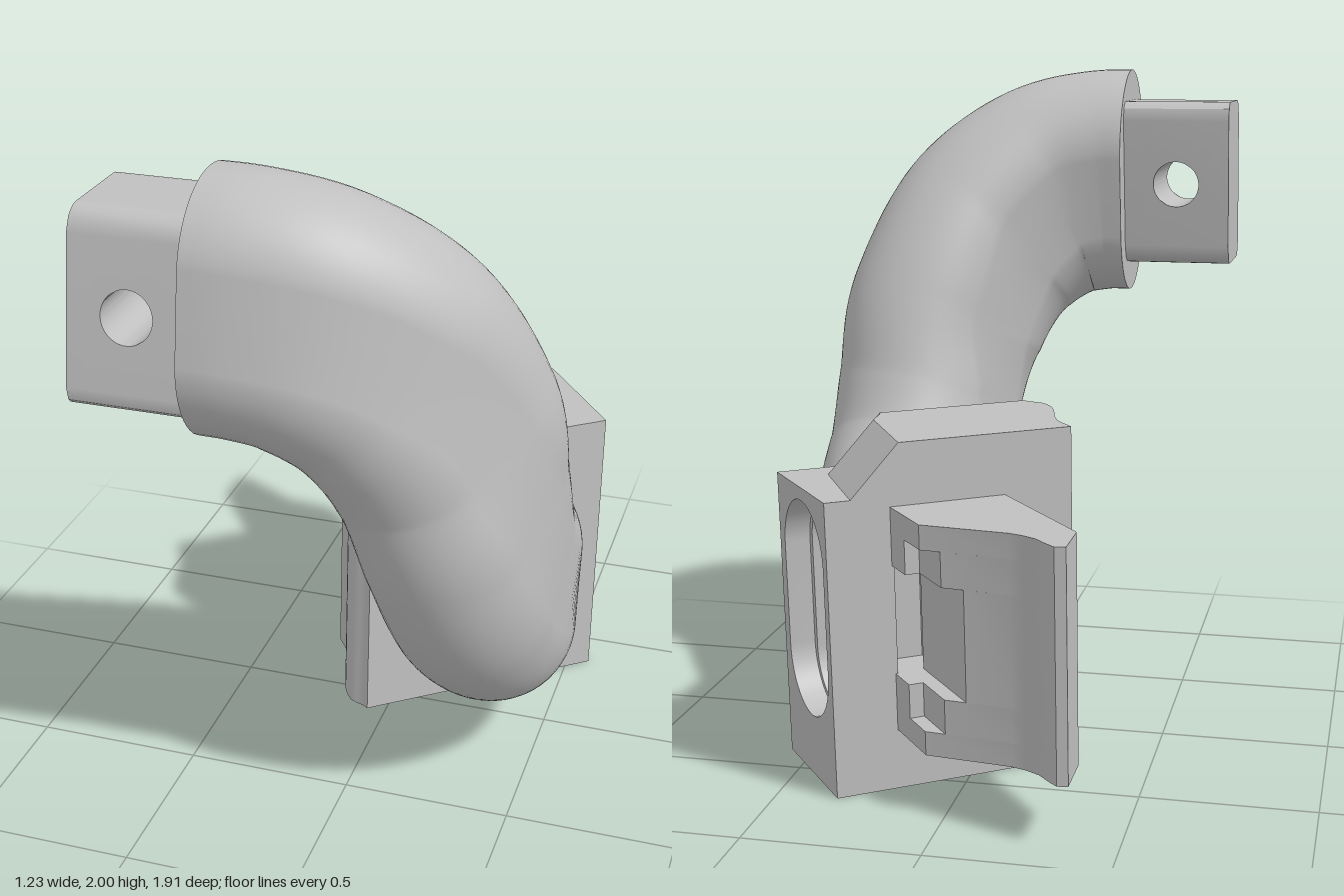
import * as THREE from 'three';
import { toCreasedNormals } from 'three/addons/utils/BufferGeometryUtils.js';

const grey = new THREE.MeshStandardMaterial({ color: 0xc0c0c0 });
grey.name = 'plain grey';

// Sideways lean: z shifts with height
const lean = (k, y0 = 0) => new THREE.Matrix4().set(1, 0, 0, 0, 0, 1, 0, 0, 0, -k, 1, k * y0, 0, 0, 0, 1);

function add(group, name, geometry, smooth = 0.5) {
  const mesh = new THREE.Mesh(smooth ? toCreasedNormals(geometry, smooth) : geometry, grey);
  mesh.name = name;
  group.add(mesh);
}

const polygon = pts => new THREE.Shape(pts.map(p => new THREE.Vector2(...p)));
const extrude = (shape, depth, steps = 1) =>
  new THREE.ExtrudeGeometry(shape, { depth, steps, bevelEnabled: false, curveSegments: 24 });

// Turns block-local geometry (u, y, v) into place, leaning back slightly
const place = g => g.rotateY(0.6435).applyMatrix4(lean(0.085));

// Upright stadium or circle outline used as a hole
function slot(cx, cy, r, half) {
  const p = new THREE.Path();
  p.absarc(cx, cy + half, r, 0, Math.PI);
  p.absarc(cx, cy - half, r, Math.PI, 2 * Math.PI);
  p.closePath();
  return p;
}

// Main block: stepped profile run front to back, with an S-curved left side and a curved step
function blockBody() {
  const g = extrude(polygon([[-0.066, 0], [0.36, 0], [0.36, 0.87], [0.6, 0.87], [0.456, 1.02], [-0.066, 1.02]]), 0.41, 20);
  g.translate(0, 0, -0.36);
  const p = g.attributes.position;
  const ease = THREE.MathUtils.smoothstep;
  for (let i = 0; i < p.count; i++) {
    const u = p.getX(i), v = p.getZ(i);
    const leftBend = -0.08 * ease(v, -0.3, -0.04) + 0.035 * ease(v, -0.02, 0.05);
    const stepBend = -0.15 * (v + 0.36) - 0.04 * ease(v, -0.05, 0.05);
    if (u < 0.3) p.setX(i, u + leftBend);
    else if (u > 0.4) p.setX(i, u + stepBend);
  }
  return place(g);
}

// Arm: stadium section swept along a curve, flaring where it meets the block
function armGeometries() {
  const path = new THREE.CatmullRomCurve3([
    [-0.28, 1.64, 0.685], [-0.18, 1.637, 0.684], [-0.02, 1.6, 0.658], [0.16, 1.465, 0.575], [0.285, 1.215, 0.47],
    [0.333, 0.95, 0.405], [0.355, 0.73, 0.3], [0.36, 0.57, 0.125], [0.315, 0.505, -0.03], [0.245, 0.49, -0.15], [0.16, 0.49, -0.27],
  ].map(p => new THREE.Vector3(...p)));
  const rings = 90, n = 56, verts = [], index = [];
  const up = new THREE.Vector3(0, 1, -0.18);
  for (let i = 0; i <= rings; i++) {
    const s = i / rings, c = path.getPointAt(s), t = path.getTangentAt(s);
    const long = up.clone().addScaledVector(t, -t.dot(up)).normalize();
    const side = new THREE.Vector3().crossVectors(t, long);
    const flare = 0.17 * THREE.MathUtils.smoothstep(s, 0.84, 0.95) ** 2;
    for (let j = 0; j < n; j++) {
      const a = ((j + 0.5) / n) * Math.PI * 2;
      const w = Math.cos(a) * 0.248 * (1 + flare);
      const h = (Math.sin(a) * 0.25 + Math.sign(Math.sin(a)) * 0.11) * (1 + flare);
      const q = c.clone().addScaledVector(side, w).addScaledVector(long, h);
      if (i === 0) q.x = -0.28;
      verts.push(q.x, q.y, q.z);
      if (i < rings) {
        const k = (j + 1) % n, A = i * n + j, B = i * n + k;
        index.push(A, A + n, B, B, A + n, B + n);
      }
    }
  }
  const tube = new THREE.BufferGeometry();
  tube.setAttribute('position', new THREE.Float32BufferAttribute(verts, 3));
  tube.setIndex(index);
  tube.computeVertexNormals();

  // Flat end face
  const cap = new THREE.BufferGeometry();
  cap.setAttribute('position', new THREE.Float32BufferAttribute([...verts.slice(0, n * 3), -0.28, 1.64, 0.685], 3));
  cap.setIndex(Array.from({ length: n }, (_, j) => [n, j, (j + 1) % n]).flat());
  cap.computeVertexNormals();
  return [tube, cap];
}

// Tab: drilled plate with rounded long edges, leaning with the arm's end
function tabGeometry() {
  const depth = 0.34, r = 0.06, h = 0.26;
  const shape = polygon([[-0.612, -h], [-0.26, -h], [-0.26, h], [-0.612, h]]);
  shape.holes.push(slot(-0.445, 0, 0.072, 0));
  const g = extrude(shape, depth, 24);
  const p = g.attributes.position;
  for (let i = 0; i < p.count; i++) {
    const y = p.getY(i), z = p.getZ(i);
    const d = Math.min(z, depth - z);
    if (Math.abs(y) > 0.2 && d < r) p.setY(i, y - Math.sign(y) * (r - Math.sqrt(Math.max(0, r * r - (r - d) ** 2))));
  }
  return g.translate(0, 1.64, 0.693 - depth / 2).applyMatrix4(lean(0.18, 1.64));
}

export function createModel() {
  const model = new THREE.Group();
  model.name = 'bentArmMount';

  const block = new THREE.Group();
  block.name = 'block';
  model.add(block);
  add(block, 'blockBody', blockBody());

  // Layers of the block's end around the stepped slot (shape x is -v)
  const layer = (name, shape, u0, u1) =>
    add(block, name, place(extrude(shape, u1 - u0).rotateY(Math.PI / 2).translate(u0, 0, 0)));
  const rect = () => polygon([[-0.05, 0], [0.36, 0], [0.36, 0.87], [-0.05, 0.87]]);
  const floor = polygon([[-0.05, 0], [0.36, 0], [0.36, 0.35], [0.24, 0.35], [0.24, 0.67], [0.36, 0.67], [0.36, 0.87], [-0.05, 0.87]]);
  floor.holes.push(slot(0.13, 0.49, 0.08, 0));
  layer('slotFloor', floor, 0.36, 0.48);
  const inner = rect();
  inner.holes.push(slot(0.16, 0.51, 0.145, 0.165));
  layer('slotInnerLip', inner, 0.48, 0.6);
  const outer = rect();
  outer.holes.push(slot(0.16, 0.51, 0.167, 0.155));
  layer('slotRim', outer, 0.6, 0.675);

  // Clip fin behind the block: stacked bands leave a T-shaped notch
  const fin = new THREE.Group();
  fin.name = 'clipFin';
  model.add(fin);
  const tip = [[0.308, 0.744], [0.285, 0.78], [0.268, 0.824], [0.264, 0.88], [0.259, 0.912], [0.232, 0.926], [0.142, 0.806], [0.142, 0.35]];
  const full = [[0.487, 0.35], [0.487, 0.57], ...tip];
  const mid = [[0.487, 0.35], [0.487, 0.46], [0.445, 0.46], [0.445, 0.611], ...tip];
  const deep = [[0.4, 0.35], [0.4, 0.655], ...tip];
  [[full, 0.18, 0.25], [mid, 0.25, 0.35], [deep, 0.35, 0.67], [mid, 0.67, 0.77], [full, 0.77, 0.84]].forEach(([pts, y0, y1], i) =>
    add(fin, 'finBand' + (i + 1), place(extrude(polygon(pts), y1 - y0).rotateX(-Math.PI / 2).translate(0, y0, 0))));

  const [tube, cap] = armGeometries();
  add(model, 'arm', tube, 0);
  add(model, 'armEnd', cap, 0);
  add(model, 'tab', tabGeometry());
  return model;
}
